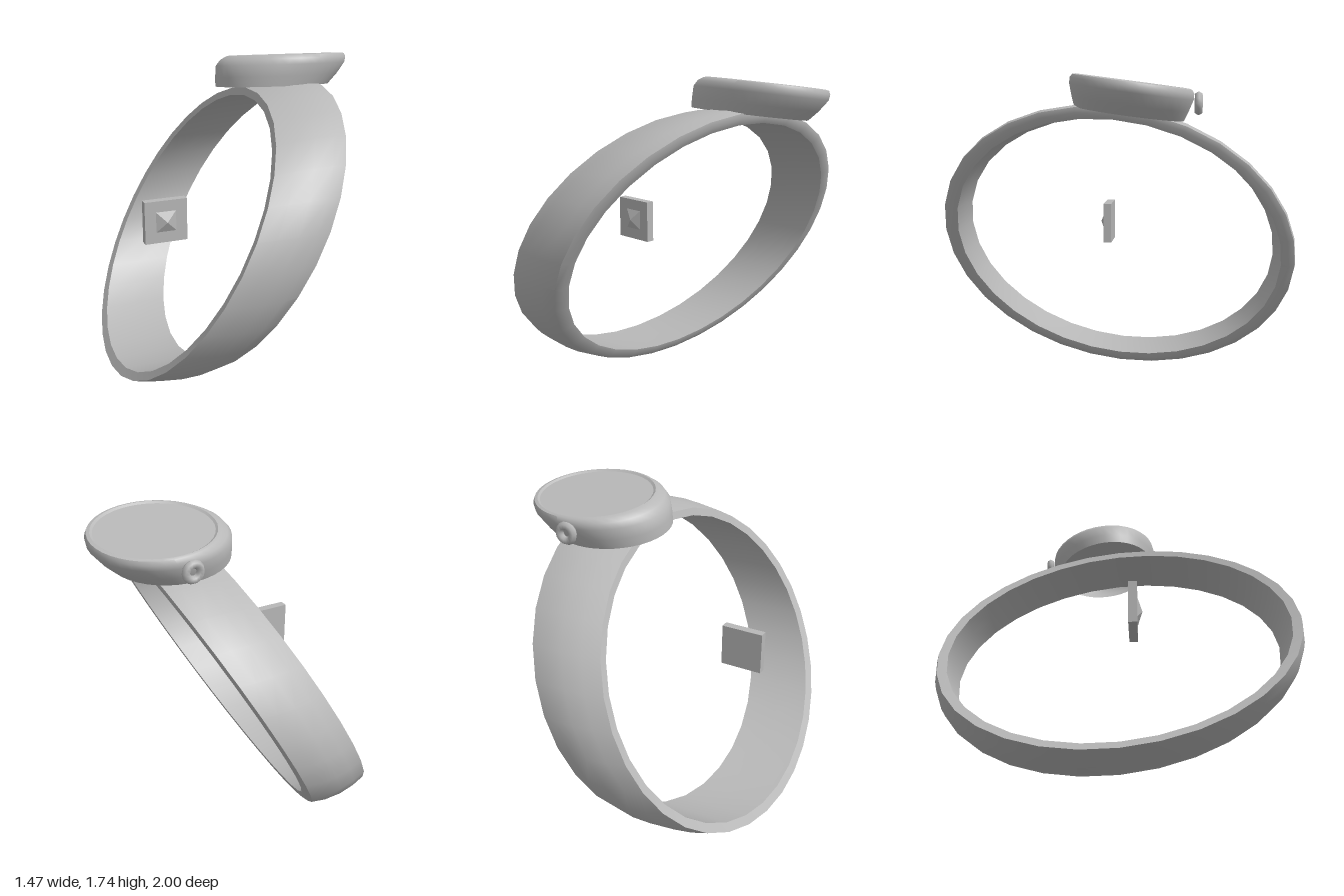
import * as THREE from 'three';
import { toCreasedNormals } from 'three/addons/utils/BufferGeometryUtils.js';

// Grid surface from a rule point(i, j) -> [x, y, z]
function surface(nu, nv, point, crease) {
  const pos = [], index = [];
  for (let j = 0; j <= nv; j++)
    for (let i = 0; i <= nu; i++) pos.push(...point(i % nu, j));
  for (let j = 0; j < nv; j++)
    for (let i = 0; i < nu; i++) {
      const a = j * (nu + 1) + i, b = a + 1, c = a + nu + 1, d = c + 1;
      index.push(a, b, c, b, d, c);
    }
  const g = new THREE.BufferGeometry();
  g.setAttribute('position', new THREE.Float32BufferAttribute(pos, 3));
  g.setIndex(index);
  return toCreasedNormals(g, crease);
}

export function createModel() {
  const model = new THREE.Group();
  const metal = new THREE.MeshStandardMaterial({ color: 0xb8b8b8, side: THREE.DoubleSide });
  metal.name = 'grey metal';
  const add = (name, geometry, parent = model) => {
    const mesh = new THREE.Mesh(geometry, metal);
    mesh.name = name;
    parent.add(mesh);
    return mesh;
  };

  // Slanted oval band: [sideways offset, radius] section swept around a leaning ring
  const section = [[0, 0.96], [0.09, 0.985], [0.19, 1], [0.29, 1], [0.37, 0.985],
    [0.385, 0.95], [0.38, 0.91], [0.19, 0.915], [0.01, 0.91], [0, 0.96]];
  const bandSides = 32;
  add('band', surface(bandSides, section.length - 1, (i, j) => {
    const t = (i / bandSides) * Math.PI * 2;
    const [u, r] = section[j];
    const z = r * Math.cos(t);
    const y = 0.8 - 0.79 * r * Math.sin(t) + 0.09 * z;
    return [-0.32 + u + 0.545 * (y - 0.8) - 0.11 * z, y, z];
  }, 0.8));

  // Oval stack for the case: [centre x, centre y, centre z, radius x, radius z]
  const ovals = (rings, crease, sides = 40) => surface(sides, rings.length - 1, (i, j) => {
    const t = (i / sides) * Math.PI * 2;
    const [cx, cy, cz, rx, rz] = rings[j];
    const dx = rx * Math.cos(t), dz = -rz * Math.sin(t);
    return [cx + dx, cy - 0.03 * dx + 0.135 * dz, cz + dz];
  }, crease);

  // Case wall, open underneath, with a rounded bezel
  add('caseWall', ovals([
    [0.295, 1.548, -0.08, 0.325, 0.285],
    [0.325, 1.6, -0.087, 0.352, 0.302],
    [0.355, 1.66, -0.095, 0.373, 0.318],
    [0.372, 1.69, -0.098, 0.362, 0.317],
    [0.386, 1.708, -0.1, 0.34, 0.304],
    [0.386, 1.712, -0.1, 0.322, 0.29],
    [0.386, 1.704, -0.1, 0.31, 0.278],
  ], 0.75));

  // Flat dial
  add('dial', ovals([
    [0.386, 1.704, -0.1, 0.31, 0.278],
    [0.386, 1.704, -0.1, 0.0001, 0.0001],
  ], 0.5));

  // Crown ring at the rear of the case
  const crown = add('crown', new THREE.TorusGeometry(0.04, 0.022, 6, 14));
  crown.position.set(0.36, 1.6, -0.438);

  // Small square clasp plate with a pointed boss
  const clasp = new THREE.Group();
  clasp.name = 'clasp';
  clasp.position.set(-0.42, 0.888, 0.072);
  clasp.rotation.y = -0.04;
  model.add(clasp);
  add('claspPlate', new THREE.BoxGeometry(0.238, 0.236, 0.046), clasp);
  const boss = new THREE.ConeGeometry(0.08, 0.026, 4).toNonIndexed();
  boss.rotateY(Math.PI / 4);
  boss.rotateX(Math.PI / 2);
  boss.computeVertexNormals();
  add('claspBoss', boss, clasp).position.z = 0.036;

  return model;
}
